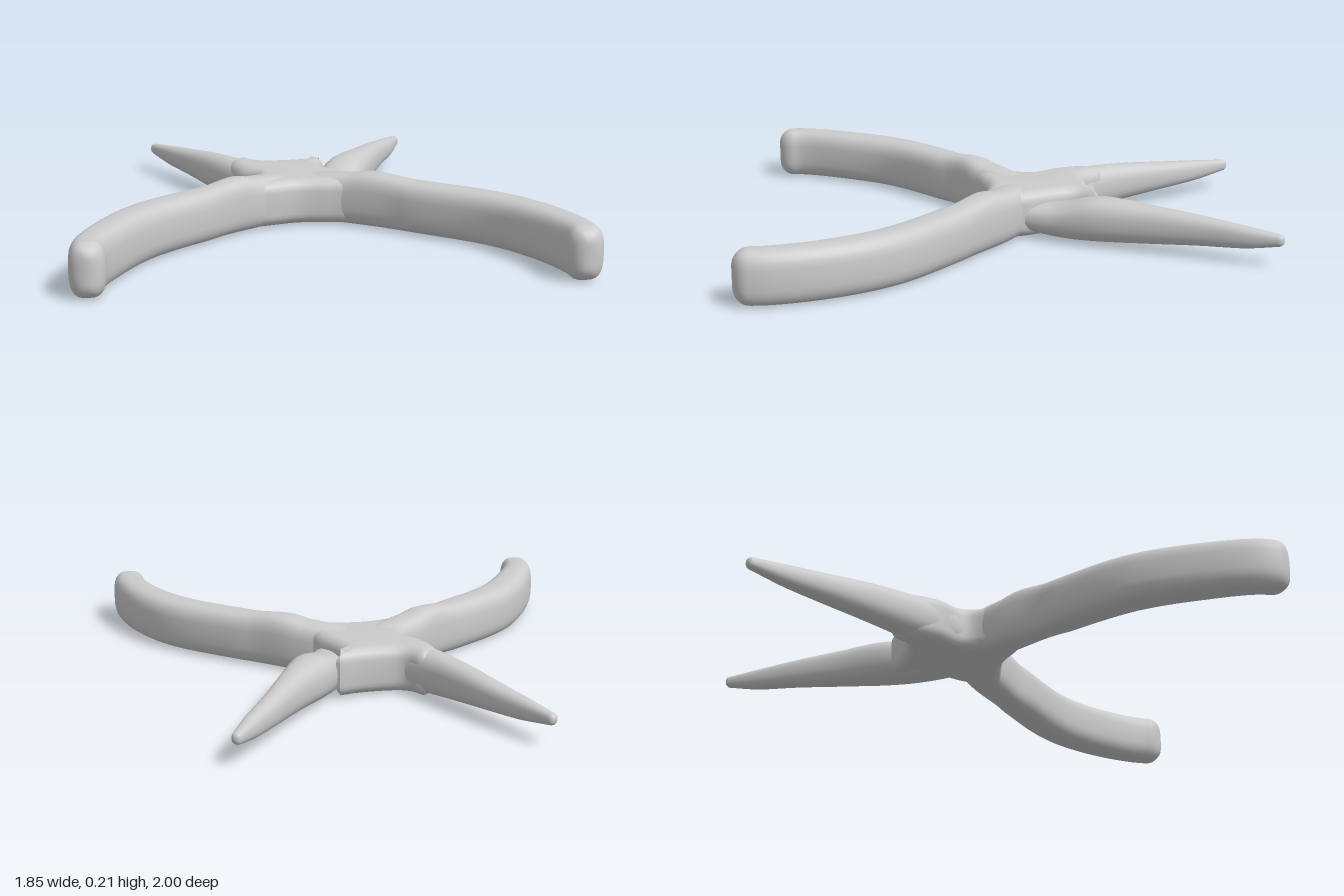
import * as THREE from 'three';
import { toCreasedNormals } from 'three/addons/utils/BufferGeometryUtils.js';

const material = new THREE.MeshStandardMaterial({ color: 0xcccccc });

// Sweeps a rounded-box section along stations [x, z, halfWidth, yLow, yHigh];
// the far end is rounded off with radius `round`.
function limb(name, stations, round, power) {
  const path = new THREE.CatmullRomCurve3(stations.map(s => new THREE.Vector3(s[0], 0, s[1])));
  const size = new THREE.CatmullRomCurve3(stations.map(s => new THREE.Vector3(s[2], s[3], s[4])));
  const rings = 64, sides = 28;
  const end = path.getPoint(1);
  const squash = v => Math.sign(v) * Math.pow(Math.abs(v), 2 / power);
  const positions = [], index = [];
  for (let i = 0; i <= rings; i++) {
    const t = 1 - Math.pow(1 - i / rings, 1.7);
    const c = path.getPoint(t), dir = path.getTangent(t), s = size.getPoint(t);
    const k = Math.min(1, c.distanceTo(end) / round);
    const inset = round * (1 - Math.sqrt(1 - (1 - k) ** 2));
    const w = Math.max(0.004, s.x - inset);
    const h = Math.max(0.004, (s.z - s.y) / 2 - inset);
    const y = (s.y + s.z) / 2;
    for (let j = 0; j < sides; j++) {
      const a = j / sides * Math.PI * 2;
      const u = squash(Math.cos(a)) * w, v = squash(Math.sin(a)) * h;
      positions.push(c.x + dir.z * u, y + v, c.z - dir.x * u);
    }
  }
  for (let i = 0; i < rings; i++) for (let j = 0; j < sides; j++) {
    const a = i * sides + j, b = i * sides + (j + 1) % sides;
    index.push(a, b, a + sides, b, b + sides, a + sides);
  }
  // End cap
  const last = rings * sides, centre = positions.length / 3;
  const tipSize = size.getPoint(1);
  positions.push(end.x, (tipSize.y + tipSize.z) / 2, end.z);
  for (let j = 0; j < sides; j++) index.push(centre, last + j, last + (j + 1) % sides);
  const geo = new THREE.BufferGeometry();
  geo.setAttribute('position', new THREE.Float32BufferAttribute(positions, 3));
  geo.setIndex(index);
  geo.computeVertexNormals();
  const mesh = new THREE.Mesh(geo, material);
  mesh.name = name;
  return mesh;
}

// Flat central joint with waisted sides and softened edges
function joint() {
  const outline = [
    [-0.15, -0.1], [-0.2, -0.03], [-0.25, 0.03], [-0.22, 0.1], [-0.13, 0.09], [0, 0.062],
    [0.13, 0.08], [0.23, 0.1], [0.28, 0.06], [0.22, -0.02], [0.2, -0.09], [0.16, -0.19],
    [0.14, -0.28], [0.17, -0.36], [0.09, -0.345], [0, -0.338], [-0.09, -0.35],
    [-0.15, -0.42], [-0.22, -0.36], [-0.2, -0.23], [-0.15, -0.15],
  ].map(([x, z]) => new THREE.Vector3(x, -z, 0));
  const points = new THREE.CatmullRomCurve3(outline, true).getSpacedPoints(90).slice(0, -1);
  const bevel = 0.045;
  const geo = new THREE.ExtrudeGeometry(new THREE.Shape(points.map(p => new THREE.Vector2(p.x, p.y))), {
    depth: 0.18 - 2 * bevel, bevelEnabled: true, bevelThickness: bevel,
    bevelSize: bevel, bevelOffset: -bevel, bevelSegments: 5, steps: 1,
  });
  geo.rotateX(-Math.PI / 2).translate(0, 0.004 + bevel, 0);
  const mesh = new THREE.Mesh(toCreasedNormals(geo, 0.8), material);
  mesh.name = 'joint';
  return mesh;
}

export function createModel() {
  const group = new THREE.Group();
  group.name = 'pliers';
  group.add(
    joint(),
    // Curved grips, deep and rounded
    limb('leftHandle', [
      [0.03, -0.08, 0.07, 0.01, 0.175], [0.11, -0.035, 0.075, 0, 0.19], [0.23, 0.045, 0.076, 0, 0.2],
      [0.43, 0.215, 0.076, 0, 0.2], [0.68, 0.455, 0.079, 0, 0.2], [0.79, 0.65, 0.077, 0, 0.2],
      [0.85, 0.86, 0.07, 0, 0.2], [0.85, 0.995, 0.066, 0, 0.2],
    ], 0.062, 3),
    limb('rightHandle', [
      [0, -0.08, 0.07, 0.01, 0.175], [-0.09, -0.03, 0.075, 0, 0.19], [-0.2, 0.045, 0.074, 0, 0.2],
      [-0.39, 0.185, 0.074, 0, 0.2], [-0.635, 0.39, 0.08, 0, 0.2], [-0.775, 0.6, 0.076, 0, 0.2],
      [-0.86, 0.79, 0.066, 0, 0.2], [-0.865, 0.9, 0.062, 0, 0.2],
    ], 0.06, 3),
    // Tapering jaws; the left one is pinched where it meets the joint
    limb('leftJaw', [
      [0.12, -0.06, 0.07, 0.03, 0.13], [0.18, -0.2, 0.085, 0.01, 0.14], [0.265, -0.35, 0.087, 0.01, 0.18],
      [0.365, -0.52, 0.062, 0.025, 0.172], [0.465, -0.7, 0.044, 0.042, 0.155],
      [0.555, -0.85, 0.033, 0.055, 0.138], [0.625, -0.975, 0.018, 0.08, 0.12],
    ], 0.016, 2.4),
    limb('rightJaw', [
      [-0.03, -0.1, 0.08, 0.01, 0.17], [-0.12, -0.25, 0.08, 0.005, 0.178], [-0.2, -0.4, 0.066, 0.015, 0.178],
      [-0.265, -0.54, 0.057, 0.028, 0.17], [-0.33, -0.69, 0.048, 0.042, 0.155],
      [-0.405, -0.85, 0.034, 0.055, 0.138], [-0.475, -1, 0.018, 0.08, 0.12],
    ], 0.016, 2.4),
  );
  return group;
}
